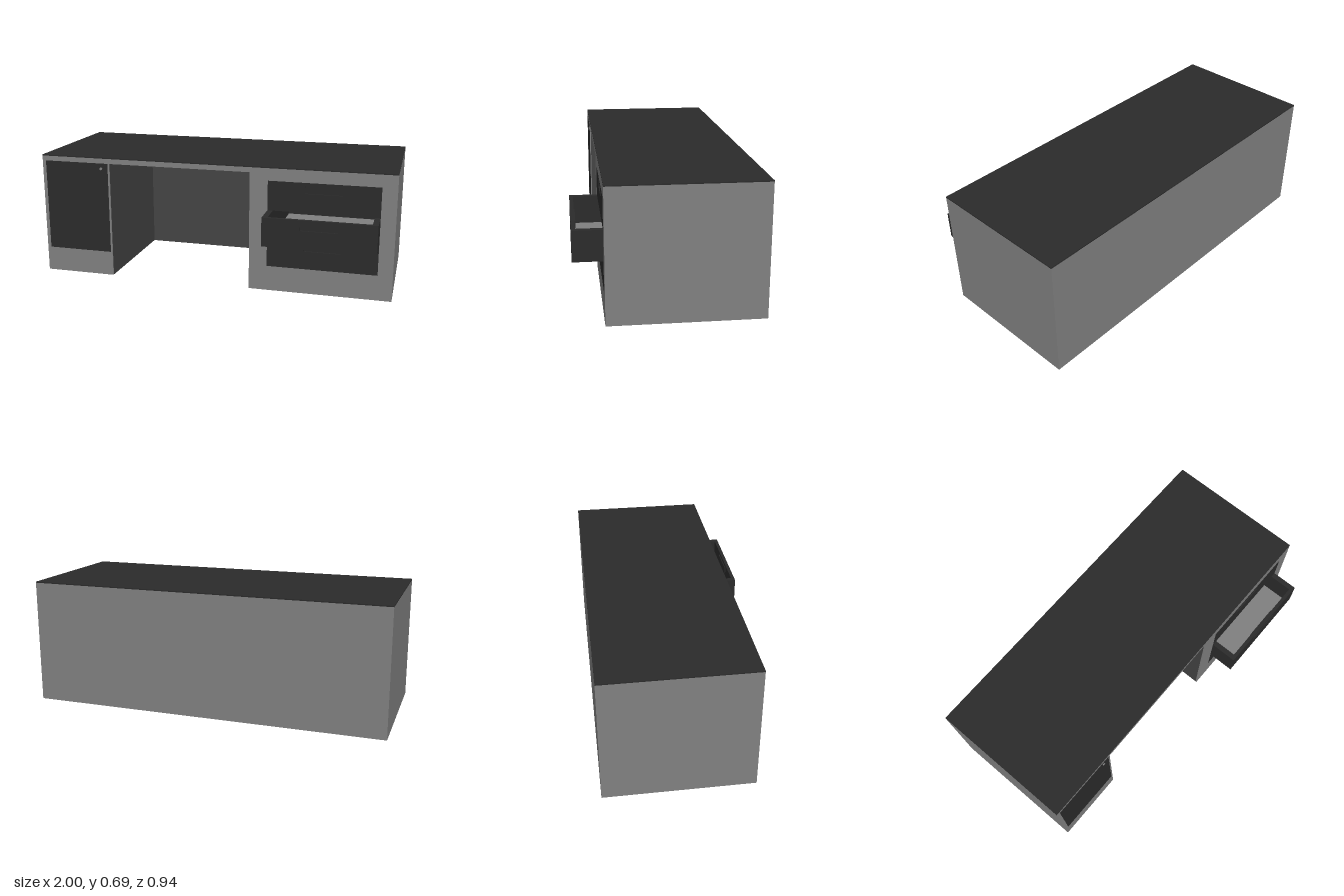
import * as THREE from 'three';

const grey = new THREE.MeshStandardMaterial({ color: 0x808080 });
const shade = new THREE.MeshStandardMaterial({ color: 0x444444 });
const dark = new THREE.MeshStandardMaterial({ color: 0x2b2b2b });

// Box given by its lower and upper bounds
function box(parent, name, mat, [x0, y0, z0], [x1, y1, z1]) {
  const mesh = new THREE.Mesh(new THREE.BoxGeometry(x1 - x0, y1 - y0, z1 - z0), mat);
  mesh.position.set((x0 + x1) / 2, (y0 + y1) / 2, (z0 + z1) / 2);
  mesh.name = name;
  parent.add(mesh);
  return mesh;
}

function rect(Type, x0, y0, x1, y1) {
  return new Type([[x0, y0], [x1, y0], [x1, y1], [x0, y1]].map(p => new THREE.Vector2(...p)));
}

// Flat panel with holes, its front face at the given z
function panel(parent, name, mat, shape, holes, thick, front) {
  shape.holes.push(...holes.map(h => rect(THREE.Path, ...h)));
  const mesh = new THREE.Mesh(
    new THREE.ExtrudeGeometry(shape, { depth: thick, bevelEnabled: false }), mat);
  mesh.position.z = front - thick;
  mesh.name = name;
  parent.add(mesh);
}

// Open-topped drawer with a recessed grip in its front
function drawer(name, y0, y1, front, grip0, grip1) {
  const g = new THREE.Group();
  g.name = name;
  const back = front - 0.66, inner = front - 0.02;
  panel(g, 'drawerFront', dark, rect(THREE.Shape, 0.32, y0, 0.92, y1),
    [[0.52, grip0, 0.72, grip1]], 0.02, front);
  box(g, 'gripBack', dark, [0.52, grip0, inner - 0.005], [0.72, grip1, inner + 0.01]);
  for (const x of [0.32, 0.89]) {
    box(g, 'drawerSide', dark, [x, y0, back], [x + 0.03, y1, inner]);
  }
  box(g, 'drawerBack', dark, [0.35, y0, back], [0.89, y1, back + 0.02]);
  box(g, 'drawerBase', dark, [0.35, y0, back + 0.02], [0.89, y0 + 0.004, inner]);
  box(g, 'drawerLining', grey, [0.35, y0 + 0.004, back + 0.02], [0.89, y0 + 0.008, inner]);
  return g;
}

export function createModel() {
  const desk = new THREE.Group();
  desk.name = 'desk';

  // Carcass
  box(desk, 'backPanel', grey, [-1, 0, -0.47], [1, 0.688, -0.374]);
  box(desk, 'underTop', grey, [-1, 0.664, -0.374], [1, 0.688, 0.314]);
  box(desk, 'rightSide', grey, [-1, 0, -0.374], [-0.98, 0.664, 0.314]);
  box(desk, 'leftSide', grey, [0.98, 0, -0.374], [1, 0.664, 0.314]);
  box(desk, 'rightPedestalBase', grey, [-0.98, 0, -0.374], [-0.594, 0.02, 0.314]);
  box(desk, 'leftPedestalBase', grey, [0.224, 0, -0.374], [0.98, 0.02, 0.314]);

  // Front frame with the knee space cut from its outline
  const outline = new THREE.Shape([
    [-1, 0], [-0.59, 0], [-0.59, 0.66], [0.22, 0.66], [0.22, 0], [1, 0], [1, 0.688], [-1, 0.688],
  ].map(p => new THREE.Vector2(...p)));
  panel(desk, 'frontFrame', grey, outline,
    [[-0.98, 0.14, -0.6, 0.66], [0.32, 0.14, 0.92, 0.62]], 0.006, 0.32);

  // Knee space lining
  box(desk, 'kneeRightWall', shade, [-0.594, 0, -0.374], [-0.59, 0.664, 0.314]);
  box(desk, 'kneeLeftWall', shade, [0.22, 0, -0.374], [0.224, 0.664, 0.314]);
  box(desk, 'kneeBackWall', shade, [-0.59, 0, -0.374], [0.22, 0.66, -0.37]);
  box(desk, 'kneeCeiling', shade, [-0.59, 0.66, -0.374], [0.22, 0.664, 0.314]);

  // Worktop
  box(desk, 'worktop', dark, [-1, 0.688, -0.47], [1, 0.694, 0.32]);

  // Cupboard door and its knob
  box(desk, 'door', dark, [-0.98, 0.14, 0.3], [-0.6, 0.66, 0.32]);
  const knob = new THREE.Mesh(new THREE.CylinderGeometry(0.008, 0.008, 0.006, 16), grey);
  knob.rotation.x = Math.PI / 2;
  knob.position.set(-0.64, 0.63, 0.322);
  knob.name = 'doorKnob';
  desk.add(knob);

  // Drawers, the middle one pulled out
  desk.add(
    drawer('topDrawer', 0.457, 0.62, 0.32, 0.56, 0.6),
    drawer('middleDrawer', 0.3, 0.457, 0.47, 0.4, 0.44),
    drawer('bottomDrawer', 0.14, 0.3, 0.32, 0.24, 0.28),
  );
  return desk;
}
